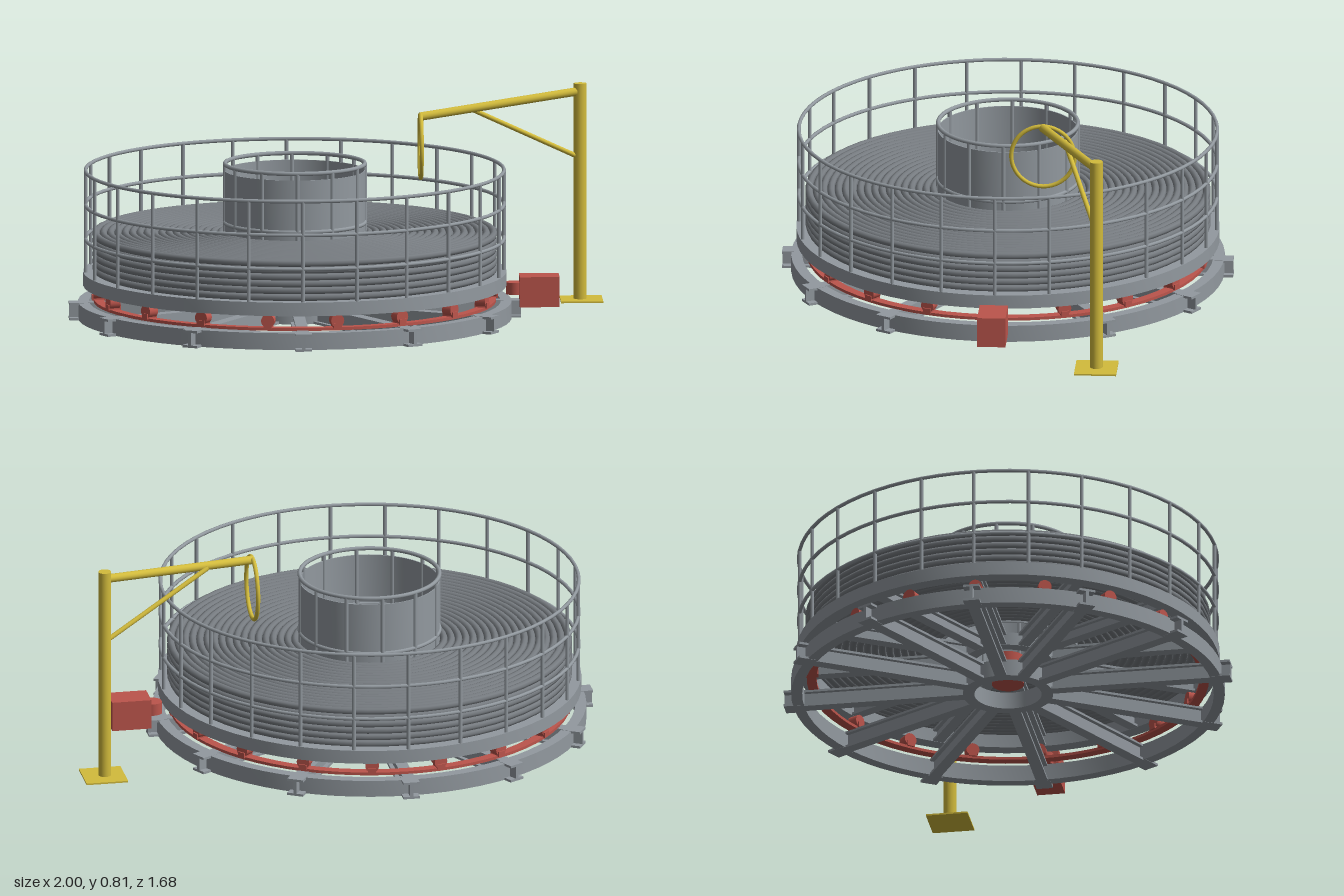
import * as THREE from 'three';
import { toCreasedNormals } from 'three/addons/utils/BufferGeometryUtils.js';

const mat = (name, color) => {
  const m = new THREE.MeshStandardMaterial({ color });
  m.name = name;
  return m;
};

export function createModel() {
  const steel = mat('steel grey', 0x92999f);
  const cable = mat('cable grey', 0x777c81);
  const red = mat('drive red', 0xbc554c);
  const yellow = mat('crane yellow', 0xd2bb3c);

  const model = new THREE.Group();
  model.name = 'cableTurntable';
  const table = new THREE.Group();
  table.name = 'turntable';
  table.position.x = -0.16;
  model.add(table);

  const add = (parent, name, geo, material, x = 0, y = 0, z = 0) => {
    const m = new THREE.Mesh(geo, material);
    m.name = name;
    m.position.set(x, y, z);
    parent.add(m);
    return m;
  };
  // flat ring with a rectangular section
  const ring = (name, r0, r1, y0, y1, material = steel) => {
    const pts = [[r1, y0], [r1, y1], [r0, y1], [r0, y0], [r1, y0]].map(p => new THREE.Vector2(...p));
    add(table, name, toCreasedNormals(new THREE.LatheGeometry(pts, 72), 0.6), material);
  };
  // horizontal round hoop
  const hoop = (name, r, y, tube, material, sides = 8, segs = 72) =>
    add(table, name, new THREE.TorusGeometry(r, tube, sides, segs).rotateX(Math.PI / 2), material, 0, y);
  // copies of a part around the turntable axis
  const around = (count, name, build) => {
    for (let i = 0; i < count; i++) {
      const g = new THREE.Group();
      g.name = name;
      g.rotation.y = (i / count) * Math.PI * 2;
      table.add(g);
      build(g);
    }
  };
  // round bar between two points
  const bar = (name, a, b, r, material) => {
    const p = new THREE.Vector3(...a), q = new THREE.Vector3(...b);
    const d = q.clone().sub(p);
    const m = add(model, name, new THREE.CylinderGeometry(r, r, d.length(), 16), material);
    m.position.copy(p).add(q).multiplyScalar(0.5);
    m.quaternion.setFromUnitVectors(new THREE.Vector3(0, 1, 0), d.normalize());
  };
  // radial I-beam: two flanges and a web
  const beam = (g, r0, r1, y0, y1, width) => {
    const t = 0.009, len = r1 - r0, x = (r0 + r1) / 2;
    add(g, 'lowerFlange', new THREE.BoxGeometry(len, t, width), steel, x, y0 + t / 2);
    add(g, 'upperFlange', new THREE.BoxGeometry(len, t, width), steel, x, y1 - t / 2);
    add(g, 'web', new THREE.BoxGeometry(len, y1 - y0 - 2 * t, 0.012), steel, x, (y0 + y1) / 2);
  };

  // fixed base and rotating deck
  ring('baseRim', 0.765, 0.806, 0.001, 0.064);
  ring('baseHub', 0.125, 0.168, 0, 0.065);
  around(12, 'baseSpoke', g => {
    beam(g, 0.16, 0.77, 0, 0.065, 0.044);
    beam(g, 0.77, 0.84, 0, 0.065, 0.062);
  });
  ring('deckRim', 0.735, 0.787, 0.125, 0.176);
  ring('deckHub', 0.125, 0.168, 0.125, 0.175);
  around(12, 'deckSpoke', g => beam(g, 0.16, 0.75, 0.126, 0.175, 0.042));

  // bearing, rail and rollers
  add(table, 'centreBearing', new THREE.CylinderGeometry(0.06, 0.06, 0.11, 32), red, 0, 0.095);
  ring('rollerRail', 0.712, 0.748, 0.064, 0.075, red);
  around(18, 'roller', g => {
    add(g, 'wheel', new THREE.CylinderGeometry(0.025, 0.025, 0.04, 20).rotateZ(Math.PI / 2), red, 0.73, 0.1);
    add(g, 'pedestal', new THREE.BoxGeometry(0.05, 0.02, 0.03), red, 0.73, 0.082);
  });

  // wound cable: only the outer shell of the stack is built
  const turns = 18, layers = 6;
  for (let i = 0; i < turns; i++) {
    for (let k = 0; k < layers; k++) {
      if (i > 0 && i < turns - 1 && k > 0 && k < layers - 1) continue;
      hoop('cableTurn', 0.277 + i * 0.0272, 0.189 + k * 0.0256, 0.0138, cable, 8, 64);
    }
  }

  // inner drum wall with its cage of posts and hoops
  ring('drumWall', 0.257, 0.261, 0.175, 0.555);
  for (const y of [0.58, 0.36]) hoop('drumHoop', 0.26, y, 0.008, steel);
  around(12, 'drumPost', g =>
    add(g, 'post', new THREE.CylinderGeometry(0.008, 0.008, 0.405, 8), steel, 0.26, 0.3775));

  // outer railing
  for (const y of [0.555, 0.428, 0.30]) hoop('railHoop', 0.778, y, 0.007, steel);
  around(24, 'railPost', g =>
    add(g, 'post', new THREE.CylinderGeometry(0.007, 0.007, 0.38, 8), steel, 0.778, 0.365));

  // drive motor and pinion
  add(model, 'motor', new THREE.BoxGeometry(0.148, 0.113, 0.105), red, 0.749, 0.0985, 0);
  add(model, 'pinion', new THREE.CylinderGeometry(0.036, 0.036, 0.045, 24), red, 0.661, 0.108, 0);

  // guide crane
  add(model, 'craneFoot', new THREE.BoxGeometry(0.157, 0.006, 0.157), yellow, 0.9215, 0.003, -0.397);
  bar('craneMast', [0.917, 0, -0.397], [0.917, 0.815, -0.397], 0.024, yellow);
  bar('craneArm', [0.917, 0.786, -0.397], [0.312, 0.729, -0.16], 0.016, yellow);
  bar('craneBrace', [0.50, 0.745, -0.253], [0.917, 0.535, -0.397], 0.009, yellow);
  add(model, 'guideRing', new THREE.TorusGeometry(0.118, 0.008, 10, 48).rotateY(Math.PI / 2), yellow, 0.314, 0.618, -0.16);

  return model;
}
